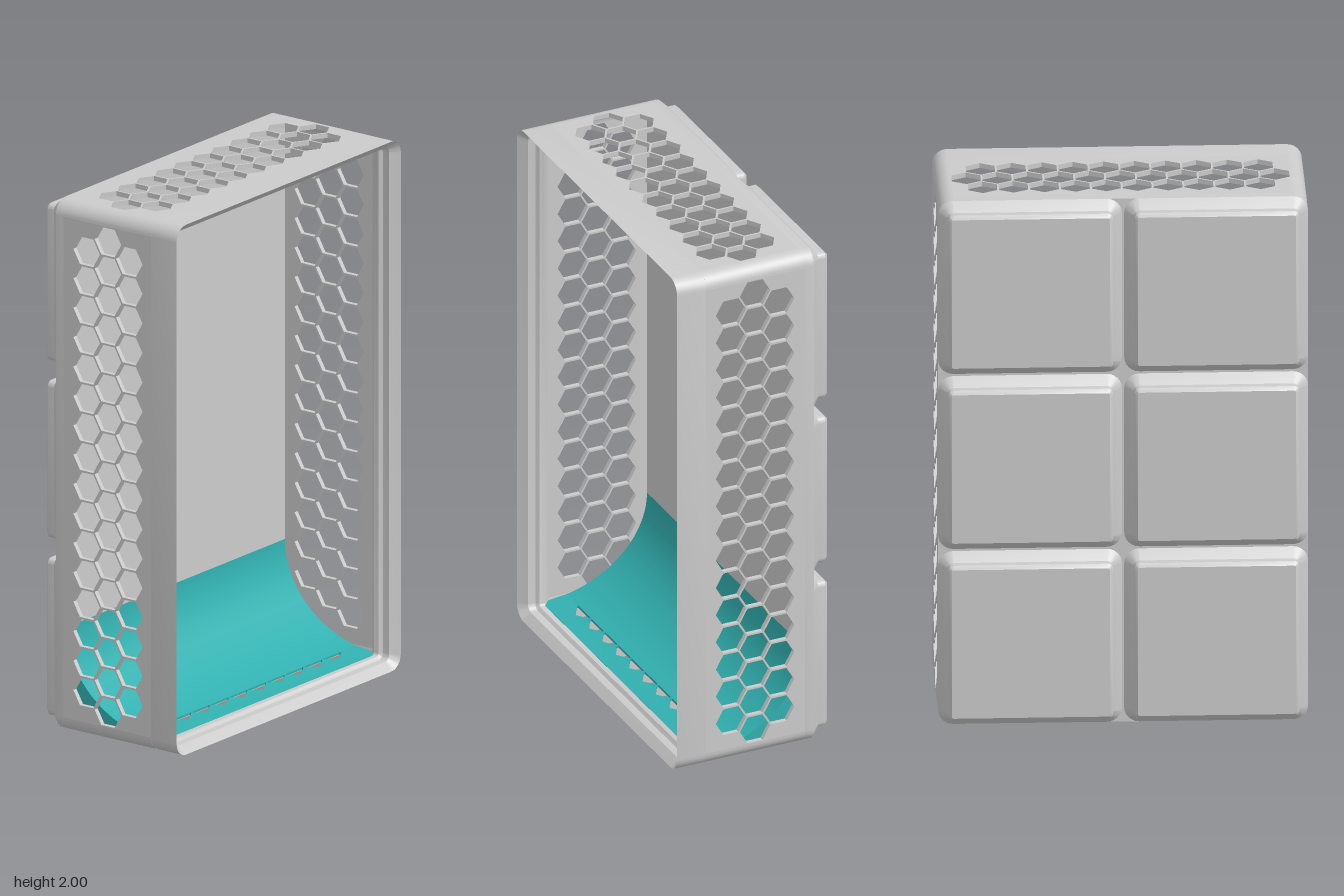
import * as THREE from 'three';
import { toCreasedNormals } from 'three/addons/utils/BufferGeometryUtils.js';

const W = 0.665, R = 0.055, T = 0.018;          // half width, corner radius, wall thickness
const BACK = -0.2, LIP = 0.195;                 // z range of the perforated walls
const PITCH = 0.111, HEX = 0.06;                // honeycomb spacing and hexagon radius
const FLOOR = 0.041, SCOOP_Z = 0.22, SCOOP_CUT = 0.12;

const grey = new THREE.MeshStandardMaterial({ color: 0xcccccc });
const teal = new THREE.MeshStandardMaterial({ color: 0x32b0b0 });

function add(parent, name, geometry, material = grey) {
  const mesh = new THREE.Mesh(toCreasedNormals(geometry, 0.5), material);
  mesh.name = name;
  parent.add(mesh);
  return mesh;
}

// Rounded rectangle outline, counter-clockwise
function roundedLoop(hw, hh, r, steps = 6) {
  const pts = [];
  [[1, 1], [-1, 1], [-1, -1], [1, -1]].forEach(([sx, sy], q) => {
    for (let i = 0; i <= steps; i++) {
      const a = (q + i / steps) * Math.PI / 2;
      pts.push([sx * (hw - r) + r * Math.cos(a), sy * (hh - r) + r * Math.sin(a)]);
    }
  });
  return pts;
}

// Loft of rounded rectangles; each section is [inset, z]
function loft(hw, hh, sections, capped) {
  const pos = [], index = [];
  let n = 0;
  for (const [d, z] of sections) {
    const loop = roundedLoop(hw - d, hh - d, R - d);
    n = loop.length;
    loop.forEach(([x, y]) => pos.push(x, y, z));
  }
  for (let s = 0; s < sections.length - 1; s++) {
    for (let j = 0; j < n; j++) {
      const a = s * n + j, b = s * n + (j + 1) % n;
      index.push(a, b, b + n, a, b + n, a + n);
    }
  }
  if (capped) {
    const last = (sections.length - 1) * n;
    for (let j = 1; j < n - 1; j++) {
      index.push(0, j + 1, j, last, last + j, last + j + 1);
    }
  }
  const g = new THREE.BufferGeometry();
  g.setAttribute('position', new THREE.Float32BufferAttribute(pos, 3));
  g.setIndex(index);
  return g;
}

// Flat panel lying in xz with three rows of hexagonal holes, y from 0 to thickness
function honeycomb(half, count, thickness, front = LIP) {
  const shape = new THREE.Shape();
  shape.moveTo(-half, -front).lineTo(half, -front).lineTo(half, -BACK).lineTo(-half, -BACK).closePath();
  for (const row of [-1, 0, 1]) {
    const n = count - Math.abs(row);
    for (let i = 0; i < n; i++) {
      const u = (i - (n - 1) / 2) * PITCH, v = row * PITCH * 0.866;
      const pts = [];
      for (let k = 0; k < 6; k++) {
        const a = Math.PI / 6 + k * Math.PI / 3;
        pts.push(new THREE.Vector2(u + HEX * Math.cos(a), v + HEX * Math.sin(a)));
      }
      shape.holes.push(new THREE.Path(pts));
    }
  }
  return new THREE.ExtrudeGeometry(shape, { depth: thickness, bevelEnabled: false }).rotateX(-Math.PI / 2);
}

// Height of the curved ramp at depth z
const scoopY = z => FLOOR + 0.35 * (1 - Math.sqrt(Math.max(0, 1 - ((SCOOP_Z - z) / 0.42) ** 2)));

function addScoop(parent) {
  const half = W - T;
  const scoop = new THREE.Group();
  scoop.name = 'scoop';
  parent.add(scoop);

  // Main curved ramp
  const profile = new THREE.Shape();
  profile.moveTo(BACK, FLOOR + 0.002).lineTo(SCOOP_CUT, FLOOR + 0.002);
  const a0 = Math.asin((SCOOP_Z - SCOOP_CUT) / 0.42);
  for (let i = 0; i <= 24; i++) {
    const z = SCOOP_Z - 0.42 * Math.sin(a0 + (Math.PI / 2 - a0) * i / 24);
    profile.lineTo(z, scoopY(z));
  }
  const ramp = new THREE.ExtrudeGeometry(profile, { depth: 2 * half, bevelEnabled: false });
  add(scoop, 'scoopRamp', ramp.translate(0, 0, -half).rotateY(-Math.PI / 2), teal);

  // Thin front edge of the ramp, notched by the floor holes
  const edge = new THREE.Shape();
  edge.moveTo(-half, -SCOOP_Z).lineTo(half, -SCOOP_Z).lineTo(half, -SCOOP_CUT);
  for (let i = 9; i >= 0; i--) {
    const x = (i - 4.5) * PITCH, z = PITCH * 0.866, w = HEX * 0.866;
    edge.lineTo(x + w, -SCOOP_CUT).lineTo(x + w, -z - HEX / 2).lineTo(x, -z - HEX);
    edge.lineTo(x - w, -z - HEX / 2).lineTo(x - w, -SCOOP_CUT);
  }
  edge.lineTo(-half, -SCOOP_CUT).closePath();
  const strip = new THREE.ExtrudeGeometry(edge, { depth: 0.01, bevelEnabled: false }).rotateX(-Math.PI / 2);
  const p = strip.attributes.position;
  for (let i = 0; i < p.count; i++) {
    p.setY(i, p.getY(i) > 0.005 ? scoopY(p.getZ(i)) + 0.0005 : FLOOR);
  }
  add(scoop, 'scoopFrontEdge', strip, teal);

  // Grey underside seen through the floor holes
  const under = new THREE.BoxGeometry(2 * half, 0.002, SCOOP_CUT - BACK);
  add(scoop, 'scoopUnderside', under.translate(0, FLOOR + 0.001, (SCOOP_CUT + BACK) / 2));
}

export function createModel() {
  const model = new THREE.Group();
  model.name = 'storageBin';

  // Perforated walls
  add(model, 'topWall', honeycomb(W - R, 11, T)).position.y = 2 - T;
  add(model, 'bottomWall', honeycomb(W - R, 11, T));
  add(model, 'floorSlab', honeycomb(W - T, 11, FLOOR - T, SCOOP_Z)).position.y = T;
  for (const [name, x] of [['leftWall', W], ['rightWall', -W + T]]) {
    add(model, name, honeycomb(1 - R, 17, T).rotateZ(Math.PI / 2)).position.set(x, 1, 0);
  }

  // Rounded corners joining the walls
  for (let q = 0; q < 4; q++) {
    const a = q * Math.PI / 2, b = a + Math.PI / 2;
    const arc = new THREE.Shape();
    arc.absarc(0, 0, R, a, b, false);
    arc.absarc(0, 0, R - T, b, a, true);
    arc.closePath();
    const g = new THREE.ExtrudeGeometry(arc, { depth: LIP - BACK, bevelEnabled: false, curveSegments: 6 });
    const sx = q === 0 || q === 3 ? 1 : -1, sy = q < 2 ? 1 : -1;
    add(model, 'wallCorner', g).position.set(sx * (W - R), 1 + sy * (1 - R), BACK);
  }

  // Stepped rim around the open front
  add(model, 'rim', loft(W, 1, [
    [0, LIP], [0, 0.31], [0.03, 0.28], [0.03, 0.251], [0.041, 0.24], [0.041, 0.22], [T, LIP], [0, LIP],
  ], false)).position.y = 1;

  // Back plate
  add(model, 'backPlate', loft(W, 1, [[0, -0.235], [0, BACK]], true)).position.y = 1;

  // Six stepped feet on the back
  const unit = 0.6693, half = 0.3307;
  for (const cx of [-0.5, 0.5]) {
    for (const cy of [-1, 0, 1]) {
      const foot = loft(half, half, [[0.047, -0.31], [0.034, -0.297], [0.034, -0.269], [0, -0.235]], true);
      add(model, 'foot', foot).position.set(cx * unit, 1 + cy * unit, 0);
    }
  }

  addScoop(model);
  return model;
}
